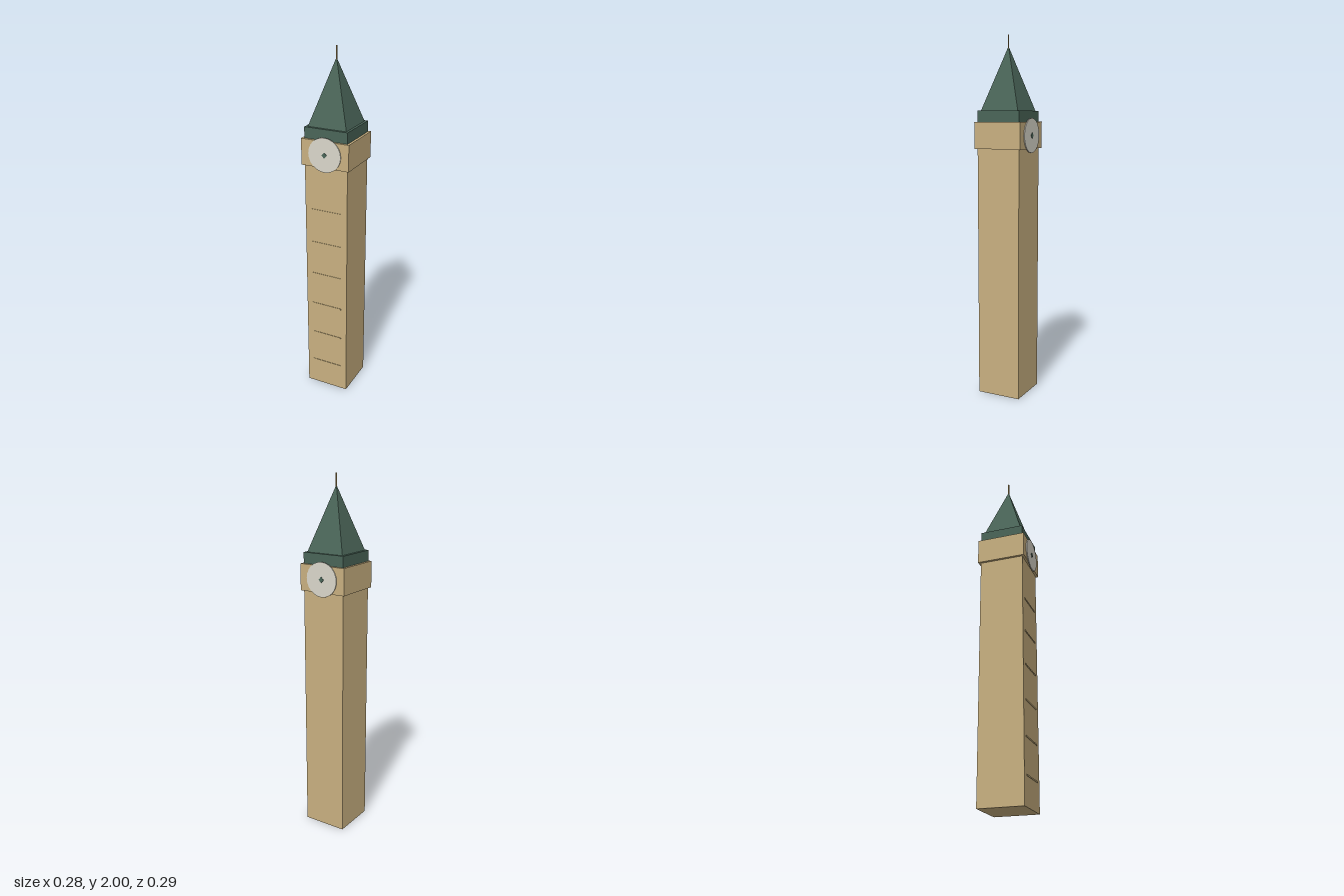
import * as THREE from 'three';

const material = (name, color) => {
  const m = new THREE.MeshStandardMaterial({ color });
  m.name = name;
  return m;
};

export function createModel() {
  const tower = new THREE.Group();
  tower.name = 'clockTower';
  const stone = material('sandstone', 0xc8b080);
  const green = material('copperGreen', 0x4a6558);
  const white = material('dialWhite', 0xdad7cb);
  const gold = material('finialGold', 0xb8975a);

  const add = (name, geometry, mat, x, y, z) => {
    const mesh = new THREE.Mesh(geometry, mat);
    mesh.name = name;
    mesh.position.set(x, y, z);
    tower.add(mesh);
    return mesh;
  };
  // Square block given by its width and its bottom and top heights
  const block = (name, width, y0, y1, mat) =>
    add(name, new THREE.BoxGeometry(width, y1 - y0, width), mat, 0, (y0 + y1) / 2, 0);

  block('shaft', 0.25, 0, 1.39, stone);
  block('clockStage', 0.276, 1.39, 1.535, stone);
  block('roofBase', 0.25, 1.535, 1.595, green);

  // Four-sided spire with its faces square to the tower
  const spire = new THREE.ConeGeometry(0.111 * Math.SQRT2, 0.345, 4).toNonIndexed();
  spire.rotateY(Math.PI / 4);
  spire.computeVertexNormals();
  add('spire', spire, green, 0, 1.7675, 0);
  add('finial', new THREE.CylinderGeometry(0.004, 0.004, 0.08, 8), gold, 0, 1.96, 0);

  // Thin string courses up the front of the shaft
  for (let i = 0; i < 6; i++) {
    add('stringCourse', new THREE.BoxGeometry(0.18, 0.008, 0.006), stone, 0, 0.157 + i * 0.196, 0.1245);
  }

  // Dials on the front and back, each with a diamond hub
  const dial = new THREE.CylinderGeometry(0.094, 0.094, 0.006, 24).rotateX(Math.PI / 2);
  const hub = new THREE.CylinderGeometry(0.016, 0.016, 0.006, 4).rotateX(Math.PI / 2);
  for (const side of [1, -1]) {
    add('clockDial', dial, white, 0, 1.462, side * 0.14);
    add('clockHub', hub, green, 0, 1.462, side * 0.1425);
  }
  return tower;
}
